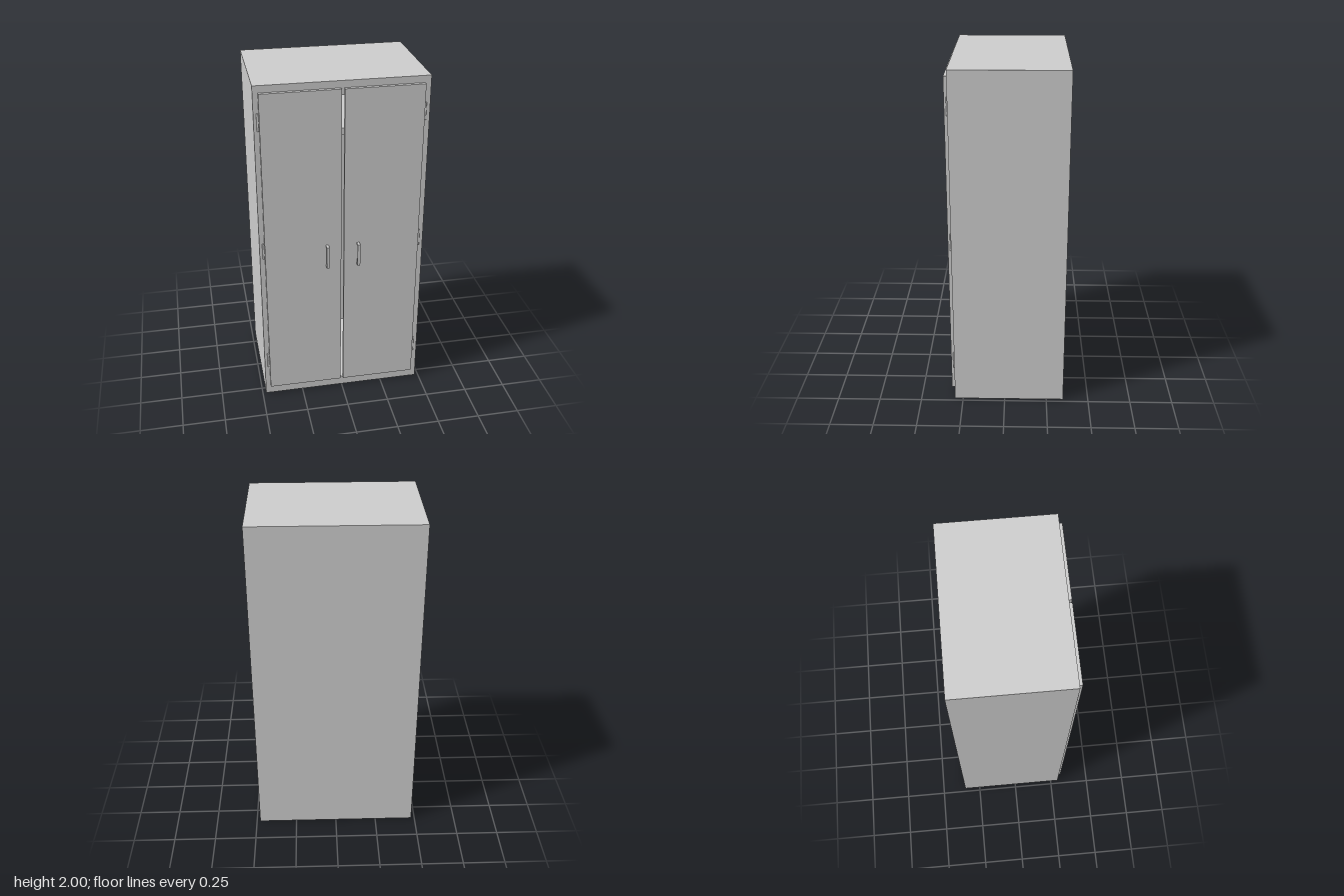
import * as THREE from 'three';

export function createModel() {
  const model = new THREE.Group();
  const mat = new THREE.MeshStandardMaterial({ color: 0xcccccc });

  const add = (name, geometry, parent = model) => {
    const mesh = new THREE.Mesh(geometry, mat);
    mesh.name = name;
    parent.add(mesh);
    return mesh;
  };
  // Box given by its lower and upper corners
  const box = (name, [x0, y0, z0], [x1, y1, z1], parent) => {
    const mesh = add(name, new THREE.BoxGeometry(x1 - x0, y1 - y0, z1 - z0), parent);
    mesh.position.set((x0 + x1) / 2, (y0 + y1) / 2, (z0 + z1) / 2);
    return mesh;
  };

  const W = 0.479, back = -0.35, front = 0.298, doorFront = 0.318;

  // Carcass: a hollow rectangular frame extruded front to back, closed by a back panel
  const frame = new THREE.Shape([
    new THREE.Vector2(-W, 0), new THREE.Vector2(W, 0),
    new THREE.Vector2(W, 2), new THREE.Vector2(-W, 2),
  ]);
  frame.holes.push(new THREE.Path([
    new THREE.Vector2(-0.44, 0.06), new THREE.Vector2(-0.44, 1.92),
    new THREE.Vector2(0.44, 1.92), new THREE.Vector2(0.44, 0.06),
  ]));
  const carcass = add('carcass', new THREE.ExtrudeGeometry(frame, { depth: front - back, bevelEnabled: false }));
  carcass.position.z = back;
  box('backPanel', [-0.44, 0.06, back], [0.44, 1.92, back + 0.03]);
  box('shelf', [-0.44, 1.68, back + 0.03], [0.44, 1.72, 0.26]);

  // Handle: a square U profile in depth and height, extruded across its width
  const y0 = 0.895, y1 = 1.033, reach = 0.032, t = 0.01;
  const handleShape = new THREE.Shape([
    [0, y0], [reach, y0], [reach, y1], [0, y1],
    [0, y1 - t], [reach - t, y1 - t], [reach - t, y0 + t], [0, y0 + t],
  ].map(([z, y]) => new THREE.Vector2(z, y)));
  const handleGeo = new THREE.ExtrudeGeometry(handleShape, { depth: 0.016, bevelEnabled: false });
  handleGeo.translate(0, 0, -0.008).rotateY(-Math.PI / 2);
  const hingeGeo = new THREE.CylinderGeometry(0.006, 0.006, 0.1, 16);

  // Doors with their handles and hinges
  for (const side of [-1, 1]) {
    const door = new THREE.Group();
    door.name = side < 0 ? 'rightDoor' : 'leftDoor';
    door.position.x = -0.002;
    model.add(door);
    const xs = [side * 0.008, side * 0.448].sort((a, b) => a - b);
    box('doorPanel', [xs[0], 0.06, front], [xs[1], 1.96, doorFront], door);
    add('handle', handleGeo, door).position.set(side * 0.09, 0, doorFront);
    for (const y of [0.253, 1.02, 1.8]) {
      add('hinge', hingeGeo, door).position.set(side * 0.455, y, 0.3);
    }
  }
  return model;
}
